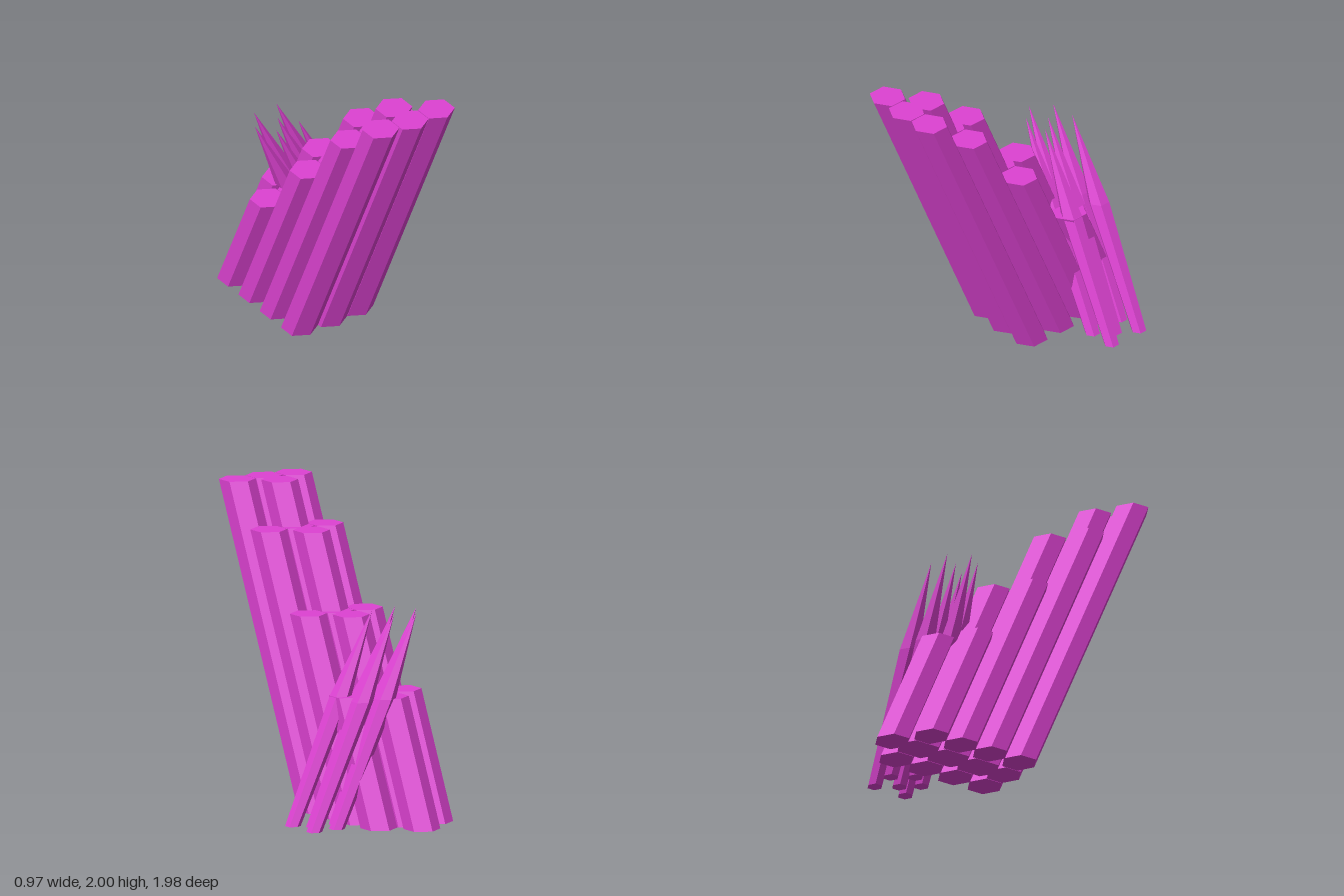
import * as THREE from 'three';

const material = new THREE.MeshStandardMaterial({ color: 0xdd42d2, flatShading: true });

// Lean a geometry sideways while its ends stay level
function shear(geometry, dx, dz) {
  geometry.applyMatrix4(new THREE.Matrix4().set(
    1, dx, 0, 0,
    0, 1, 0, 0,
    0, dz, 1, 0,
    0, 0, 0, 1));
  geometry.computeVertexNormals();
  return geometry;
}

function addPart(parent, name, geometry, x, z) {
  const mesh = new THREE.Mesh(geometry, material);
  mesh.name = name;
  mesh.position.set(x, 0, z);
  parent.add(mesh);
}

export function createModel() {
  const model = new THREE.Group();
  model.name = 'crystalCluster';

  // Hexagonal columns leaning forward, stepping down towards the back
  const columns = new THREE.Group();
  columns.name = 'columns';
  const heights = [2, 1.73, 1.257, 0.8];
  const rows = [
    { x: -0.387, z: -0.034, step: 0.228 },
    { x: -0.18, z: -0.005, step: 0.232 },
    { x: -0.18, z: -0.177, step: 0.232 }, // second file behind the middle one
    { x: 0.028, z: -0.007, step: 0.229 },
  ];
  heights.forEach((h, level) => {
    const geometry = new THREE.CylinderGeometry(0.117, 0.117, h, 6).translate(0, h / 2, 0);
    shear(geometry, 0, 0.4375);
    for (const r of rows) addPart(columns, 'column', geometry, r.x, r.z - r.step * level);
  });
  model.add(columns);

  // Pointed hexagonal spikes leaning sideways into the columns
  const spikes = new THREE.Group();
  spikes.name = 'spikes';
  const profile = [[0, 0], [0.05, 0], [0.07, 0.8], [0, 1.33]].map(p => new THREE.Vector2(...p));
  const spike = shear(new THREE.LatheGeometry(profile, 6).toNonIndexed(), -0.462, 0);
  for (const [x, z] of [[0.437, -0.33], [0.35, -0.438], [0.437, -0.567]]) {
    for (let i = 0; i < 2; i++) addPart(spikes, 'spike', spike, x - 0.175 * i, z);
  }
  model.add(spikes);

  return model;
}
